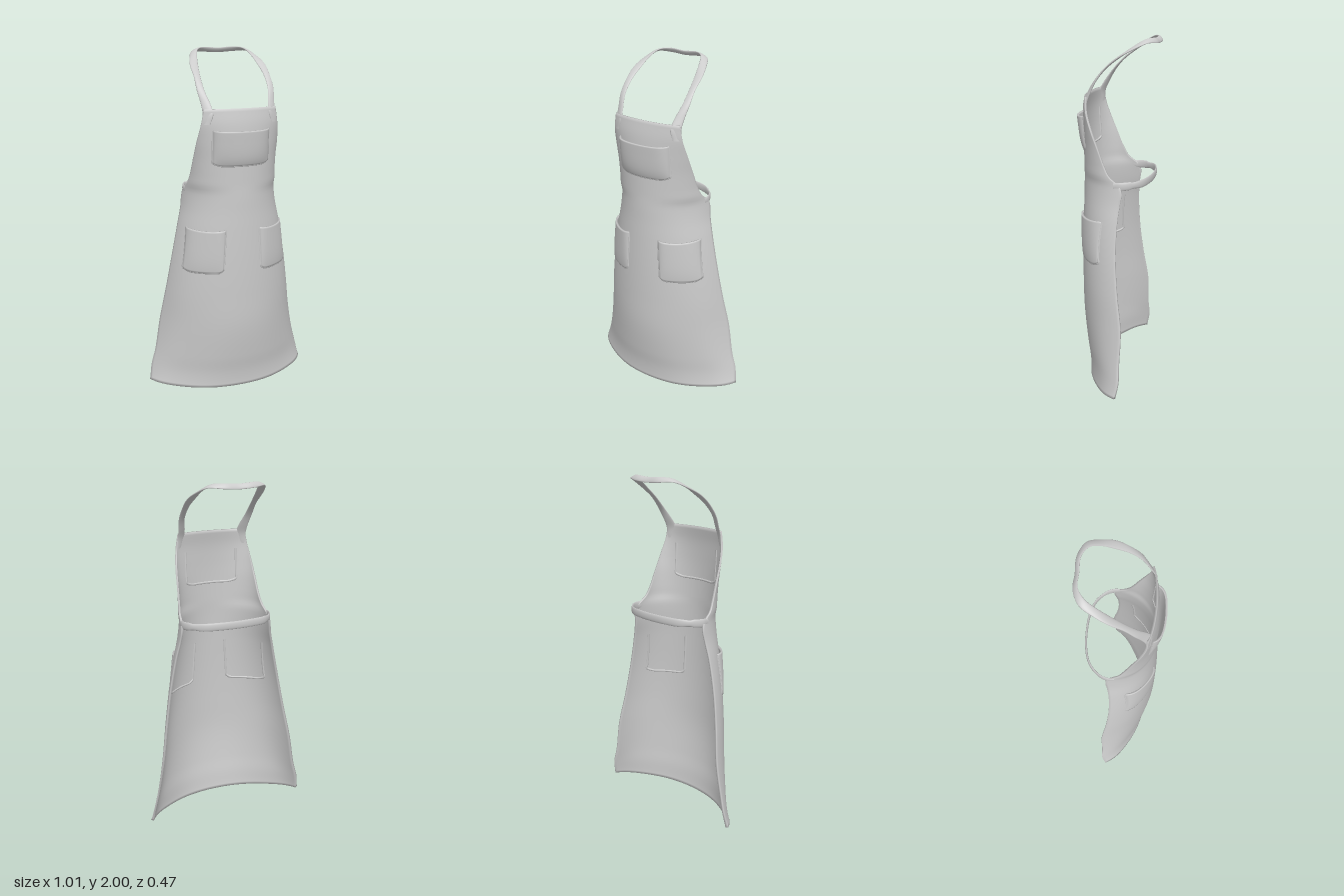
import * as THREE from 'three';

const material = new THREE.MeshStandardMaterial({ color: 0xcccccc, side: THREE.DoubleSide });

// Cloth profile by height: y, half width, z at centre, z at side edge, wrap angle
const profile = [
  [0, 0.495, 0.145, -0.09, 1.15],
  [0.1, 0.48, 0.155, -0.105, 1.15],
  [0.2, 0.455, 0.172, -0.1, 1.2],
  [0.4, 0.42, 0.195, -0.1, 1.3],
  [0.6, 0.385, 0.2, -0.075, 1.4],
  [0.8, 0.35, 0.2, -0.06, 1.45],
  [1.0, 0.31, 0.196, -0.06, 1.5],
  [1.1, 0.287, 0.193, -0.07, 1.55],
  [1.17, 0.277, 0.192, -0.078, 1.57],
  [1.21, 0.271, 0.191, -0.062, 1.55],
  [1.25, 0.264, 0.19, -0.01, 1.5],
  [1.3, 0.256, 0.19, 0.02, 1.45],
  [1.4, 0.248, 0.19, 0.06, 1.35],
  [1.5, 0.24, 0.188, 0.1, 1.25],
  [1.6, 0.225, 0.182, 0.132, 1.15],
  [1.685, 0.21, 0.168, 0.138, 1.1],
];
const lerpProfile = new THREE.CubicInterpolant(profile.map(r => r[0]), profile.flatMap(r => r.slice(1)), 4);

// Point on the cloth: u runs from -1 to 1 across, y is height
function cloth(u, y) {
  const [w, zc, ze, a] = lerpProfile.evaluate(THREE.MathUtils.clamp(y, 0, 1.685));
  const low = Math.max(0, 1 - y / 0.9);
  const fold = 0.009 * low * Math.sin(9 * Math.abs(u) + 4 * y) * u * u;
  return new THREE.Vector3(
    w * Math.sin(a * u) / Math.sin(a),
    y + 0.012 * low ** 8 * u * u,
    zc - (zc - ze) * (1 - Math.cos(a * u)) / (1 - Math.cos(a)) + fold);
}
function clothAtX(x, y) {
  const [w, , , a] = lerpProfile.evaluate(y);
  return cloth(Math.asin(THREE.MathUtils.clamp(x * Math.sin(a) / w, -1, 1)) / a, y);
}

function geometryFrom(positions, index) {
  const g = new THREE.BufferGeometry();
  g.setAttribute('position', new THREE.Float32BufferAttribute(positions, 3));
  g.setIndex(index);
  g.computeVertexNormals();
  return g;
}
function addMesh(group, name, geometry) {
  const mesh = new THREE.Mesh(geometry, material);
  mesh.name = name;
  group.add(mesh);
}

// Joins rings of n points into a tube of quads
function joinRings(n, rows, closed = true) {
  const index = [];
  for (let j = 0; j < rows; j++)
    for (let k = 0; k < n; k++) {
      const a = j * n + k, b = j * n + (k + 1) % n;
      index.push(a, b, b + n, a, b + n, a + n);
    }
  return index;
}

// Closed sheet over point(u, v), offset outward and inward along its normal
function sheet(point, outer, inner, nu, nv) {
  const pos = [], e = 0.004, n = 2 * (nu + 1);
  for (let j = 0; j <= nv; j++)
    for (let k = 0; k < n; k++) {
      const front = k <= nu, i = front ? k : n - 1 - k;
      const u = -1 + 2 * i / nu, v = j / nv;
      const u0 = Math.max(-1, u - e), u1 = Math.min(1, u + e);
      const v0 = Math.max(0, v - e), v1 = Math.min(1, v + e);
      const normal = point(u1, v).sub(point(u0, v)).cross(point(u, v1).sub(point(u, v0))).normalize();
      const p = point(u, v).addScaledVector(normal, front ? outer(u, v) : inner(u, v));
      pos.push(p.x, Math.max(0, p.y), p.z);
    }
  const index = joinRings(n, nv);
  const top = nv * n;
  for (let i = 0; i < nu; i++) {
    const f = i, f1 = i + 1, b = n - 1 - i, b1 = n - 2 - i;
    index.push(f, b, f1, f1, b, b1);
    index.push(top + f, top + f1, top + b, top + f1, top + b1, top + b);
  }
  return geometryFrom(pos, index);
}

// Flat strap through keys [x, y, z, half width vector], mirrored to the other side
function strap(keys, thickness) {
  const mirrored = keys.slice(0, -1).map(([x, y, z, a, b, c]) => [-x, y, z, -a, b, c]);
  const all = [...mirrored, ...keys.slice().reverse()];
  const path = new THREE.CatmullRomCurve3(all.map(k => new THREE.Vector3(k[0], k[1], k[2])));
  const widths = new THREE.CatmullRomCurve3(all.map(k => new THREE.Vector3(k[3], k[4], k[5])));
  const steps = 90, n = 12, pos = [];
  for (let j = 0; j <= steps; j++) {
    const t = j / steps, p = path.getPoint(t), w = widths.getPoint(t);
    const normal = path.getTangent(t).cross(w).normalize();
    for (let k = 0; k < n; k++) {
      const a = 2 * Math.PI * k / n;
      const q = p.clone().addScaledVector(w, Math.cos(a)).addScaledVector(normal, thickness * Math.sin(a));
      pos.push(q.x, q.y, q.z);
    }
  }
  return geometryFrom(pos, joinRings(n, steps));
}

// Patch pocket with an open top, and the seam that shows on both sides of the cloth
function pocket(name, [bl, br, tl, tr], y0, y1, bulge) {
  const group = new THREE.Group();
  group.name = name;
  const point = (u, v) => {
    const s = (u + 1) / 2, { lerp } = THREE.MathUtils;
    const sag = -0.008 * v * (1 - u * u);
    return clothAtX(lerp(lerp(bl, br, s), lerp(tl, tr, s), v),
      lerp(y0, y1, v) + 0.02 * u ** 8 * (1 - v) ** 3 + sag);
  };
  const puff = (u, v) => 0.009 + bulge * (1 - u ** 6) * (0.3 + 0.7 * v) * (1 - (1 - v) ** 8);
  addMesh(group, 'pocketPanel', sheet(point, puff, (u, v) => puff(u, v) - 0.01, 28, 24));
  const path = [];
  for (let i = 0; i <= 8; i++) path.push(point(-1, 1 - i / 8));
  for (let i = 1; i < 8; i++) path.push(point(-1 + i / 4, 0));
  for (let i = 0; i <= 8; i++) path.push(point(1, i / 8));
  addMesh(group, 'pocketSeam', new THREE.TubeGeometry(new THREE.CatmullRomCurve3(path), 100, 0.009, 8));
  return group;
}

export function createModel() {
  const apron = new THREE.Group();
  apron.name = 'apron';

  // Bib and skirt in one piece, a little thicker at the hem
  const half = (u, v) => 0.005 + 0.004 * Math.exp(-v * 50);
  addMesh(apron, 'clothBody',
    sheet((u, v) => cloth(u, v * 1.685), half, (u, v) => -half(u, v), 64, 100));

  // Neck strap, lying flat on the shoulders and sloping at the nape
  addMesh(apron, 'neckStrap', strap([
    [0.2, 1.6, 0.148, 0.02, 0, -0.012],
    [0.189, 1.66, 0.145, 0.026, 0, -0.015],
    [0.194, 1.71, 0.122, 0.024, 0, -0.012],
    [0.208, 1.78, 0.08, 0.02, 0, -0.006],
    [0.208, 1.85, 0.02, 0.019, 0, 0],
    [0.202, 1.905, -0.05, 0.024, 0, 0],
    [0.184, 1.95, -0.12, 0.021, -0.005, -0.005],
    [0.152, 1.983, -0.185, 0.016, -0.008, -0.012],
    [0.085, 1.984, -0.222, 0.003, -0.014, -0.012],
    [0, 1.979, -0.222, 0, -0.014, -0.011],
  ], 0.006));

  // Waist strap around the back
  addMesh(apron, 'waistStrap', strap([
    [0.27, 1.205, -0.03, 0, -0.02, 0],
    [0.271, 1.205, -0.07, 0, -0.024, 0],
    [0.25, 1.208, -0.12, 0, -0.023, 0],
    [0.19, 1.21, -0.175, 0, -0.023, 0],
    [0.1, 1.213, -0.203, 0, -0.023, 0],
    [0, 1.213, -0.21, 0, -0.023, 0],
  ], 0.006));

  // Pockets: one on the bib, a pair on the hips
  apron.add(pocket('chestPocket', [-0.165, 0.16, -0.165, 0.16], 1.37, 1.57, 0.036));
  apron.add(pocket('leftHipPocket', [0.115, 0.315, 0.1, 0.285], 0.745, 1.0, 0.016));
  apron.add(pocket('rightHipPocket', [-0.315, -0.115, -0.285, -0.1], 0.745, 1.0, 0.016));
  return apron;
}
